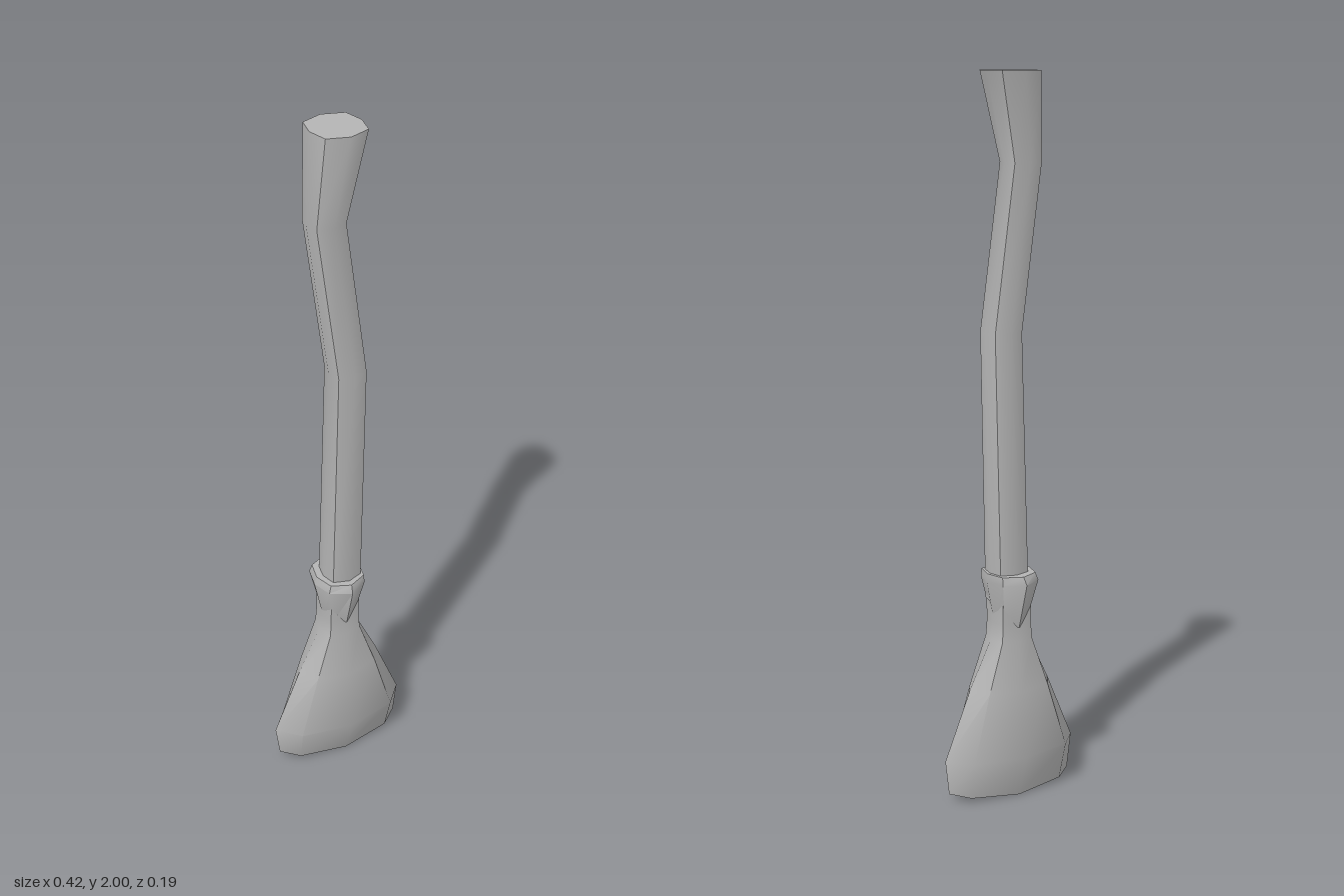
import * as THREE from 'three';
import { toCreasedNormals } from 'three/addons/utils/BufferGeometryUtils.js';

// Eight-sided loft. Ring: [y, centreX, centreZ, radiusX, radiusZ, cornerX, cornerZ, sideLift]
function loft(rings) {
  const pos = [];
  const index = [];
  for (const [y, cx, cz, rx, rz, kx, kz, lift = 0] of rings) {
    const outline = [[1, 0], [kx, kz], [0, 1], [-kx, kz], [-1, 0], [-kx, -kz], [0, -1], [kx, -kz]];
    for (const [u, v] of outline) pos.push(cx + u * rx, y + lift * u * u, cz + v * rz);
  }
  const top = (rings.length - 1) * 8;
  const base = pos.length / 3;
  for (const r of [rings[0], rings[rings.length - 1]]) pos.push(r[1], r[0], r[2]);
  for (let j = 0; j < 8; j++) {
    const n = (j + 1) % 8;
    for (let i = 0; i < top; i += 8) {
      index.push(i + j, i + 8 + j, i + n, i + n, i + 8 + j, i + 8 + n);
    }
    index.push(base, j, n, base + 1, top + n, top + j);
  }
  const g = new THREE.BufferGeometry();
  g.setAttribute('position', new THREE.Float32BufferAttribute(pos, 3));
  g.setIndex(index);
  return toCreasedNormals(g, 0.75);
}

export function createModel() {
  const group = new THREE.Group();
  const grey = new THREE.MeshStandardMaterial({ color: 0xb4b4b4 });
  grey.name = 'grey';

  const add = (name, rings) => {
    const mesh = new THREE.Mesh(loft(rings), grey);
    mesh.name = name;
    group.add(mesh);
  };

  // Crooked stick
  add('handle', [
    [0.56, 0.006, 0.003, 0.054, 0.057, 0.82, 0.74],
    [1.31, 0.022, 0.007, 0.051, 0.053, 0.82, 0.74],
    [1.76, -0.042, 0.011, 0.051, 0.052, 0.82, 0.74],
    [2, -0.002, -0.002, 0.073, 0.077, 0.82, 0.74],
  ]);

  // Flared binding around the neck
  add('collar', [
    [0.49, 0.002, 0, 0.046, 0.055, 0.72, 0.62],
    [0.62, 0, 0, 0.073, 0.092, 0.78, 0.65],
    [0.642, 0.003, 0, 0.068, 0.08, 0.78, 0.7],
  ]);

  // Flattened bristle bundle, with a slightly bowed underside
  add('bristles', [
    [0, 0.004, -0.005, 0.196, 0.055, 0.74, 0.68, 0.024],
    [0.12, 0.001, -0.001, 0.208, 0.093, 0.72, 0.67],
    [0.31, 0.002, 0, 0.128, 0.077, 0.74, 0.7],
    [0.45, 0.002, 0, 0.06, 0.058, 0.8, 0.78],
    [0.5, 0.002, 0, 0.052, 0.053, 0.86, 0.82],
    [0.58, 0.003, 0, 0.053, 0.055, 0.86, 0.82],
  ]);

  return group;
}
